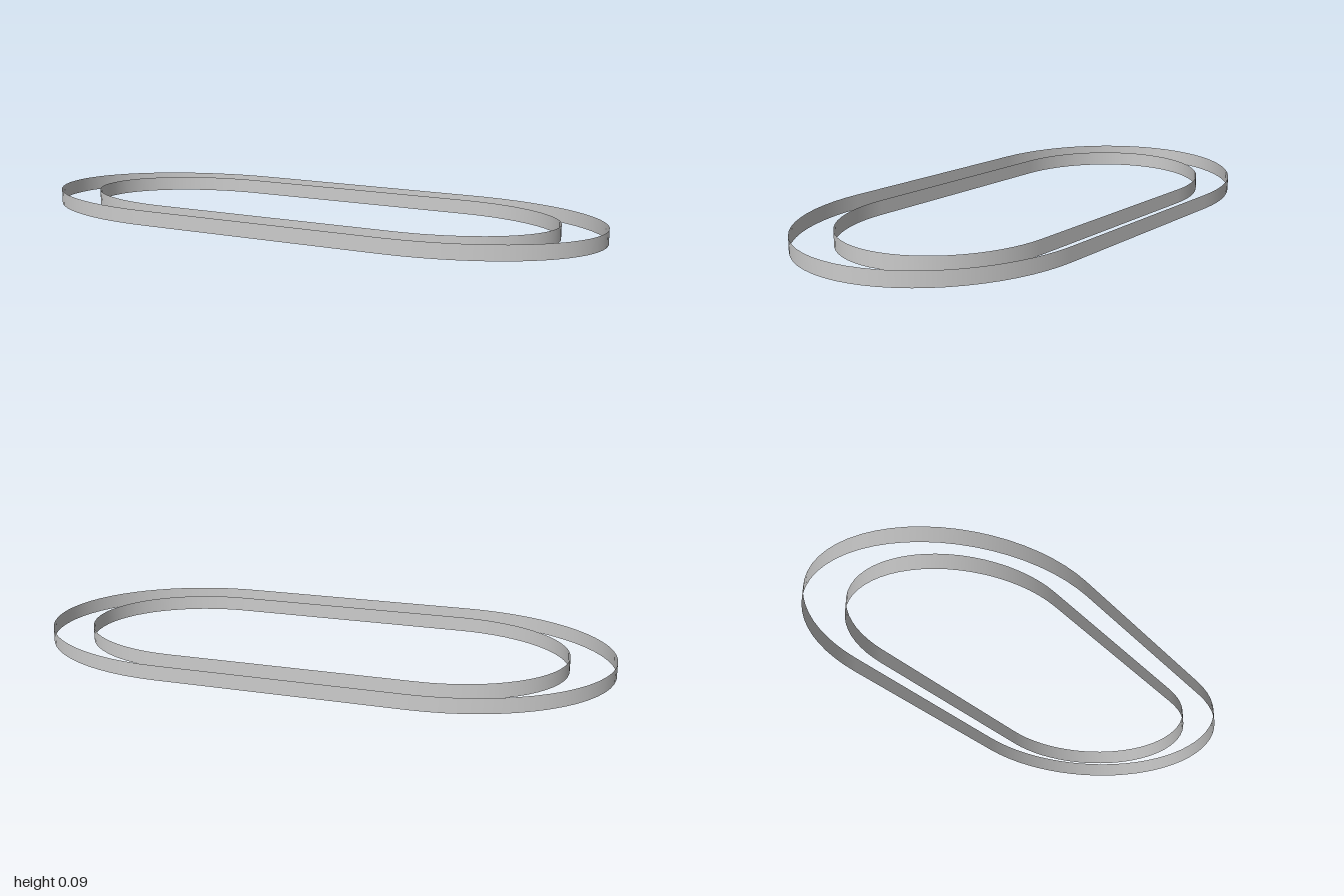
import * as THREE from 'three';

const HALF_STRAIGHT = 0.42; // half length of the straight sides
const HEIGHT = 0.05;        // height of each ribbon
const SLOPE = 0.0415;       // rise towards the front
const BASE = 0.0187;        // lower edge height at z = 0
const ARC_STEPS = 32;

// Upright oval ribbon with half-ellipse ends, sheared so that its front sits higher
function ribbon(name, endLength, halfWidth) {
  const positions = [], normals = [], indices = [];
  for (const side of [1, -1]) {
    for (let i = 0; i <= ARC_STEPS; i++) {
      const a = -Math.PI / 2 + (Math.PI * i) / ARC_STEPS;
      const c = side * Math.cos(a), s = side * Math.sin(a);
      const x = side * HALF_STRAIGHT + endLength * c;
      const z = halfWidth * s;
      const y = BASE + SLOPE * z;
      const normal = new THREE.Vector3(c / endLength, 0, s / halfWidth).normalize().toArray();
      positions.push(x, y, z, x, y + HEIGHT, z);
      normals.push(...normal, ...normal);
    }
  }
  const count = positions.length / 6;
  for (let i = 0; i < count; i++) {
    const a = 2 * i, b = 2 * ((i + 1) % count);
    indices.push(a, a + 1, b, b, a + 1, b + 1);
  }
  const geometry = new THREE.BufferGeometry();
  geometry.setAttribute('position', new THREE.Float32BufferAttribute(positions, 3));
  geometry.setAttribute('normal', new THREE.Float32BufferAttribute(normals, 3));
  geometry.setIndex(indices);
  const material = new THREE.MeshStandardMaterial({ color: 0xcccccc, side: THREE.DoubleSide });
  const mesh = new THREE.Mesh(geometry, material);
  mesh.name = name;
  return mesh;
}

export function createModel() {
  const group = new THREE.Group();
  group.name = 'ovalTrackWalls';
  group.add(ribbon('outerWall', 0.58, 0.44), ribbon('innerWall', 0.43, 0.33));
  return group;
}
